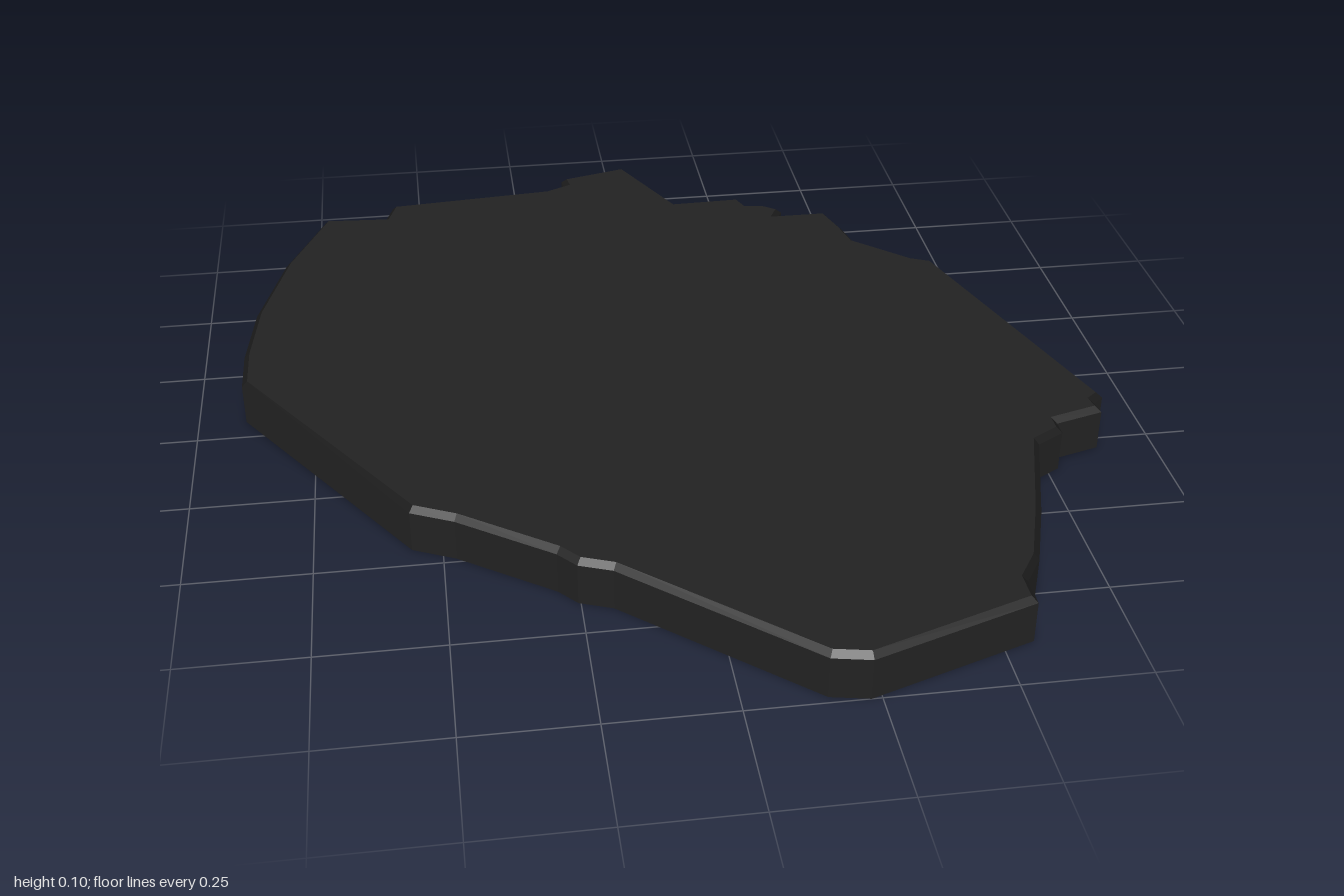
import * as THREE from 'three';

const HEIGHT = 0.1;
const BEVEL = 0.012;

// Outline corners (x, z), clockwise seen from above
const OUTLINE = [
  [0.03, -1], [0.135, -0.78], [0.295, -0.785], [0.31, -0.745], [0.35, -0.74], [0.39, -0.71],
  [0.375, -0.68], [0.495, -0.68], [0.52, -0.595], [0.535, -0.525], [0.59, -0.475], [0.65, -0.42],
  [0.695, -0.4], [0.9, 0.23], [0.875, 0.25], [0.88, 0.285], [0.775, 0.315], [0.775, 0.35],
  [0.715, 0.385], [0.65, 0.61], [0.6, 0.76], [0.56, 0.82], [0.56, 0.885], [0.23, 1],
  [0.155, 0.985], [-0.19, 0.685], [-0.255, 0.66], [-0.29, 0.62], [-0.475, 0.49], [-0.56, 0.45],
  [-0.9, -0.06], [-0.9, -0.18], [-0.88, -0.36], [-0.82, -0.59], [-0.73, -0.805], [-0.585, -0.795],
  [-0.565, -0.86], [-0.18, -0.895], [-0.13, -0.92], [-0.135, -0.955],
].map(([x, z]) => new THREE.Vector2(x, z));

// Mitred inward offset of a closed outline
function inset(points, amount) {
  const n = points.length;
  const inward = (a, b) => {
    const d = b.clone().sub(a).normalize();
    return new THREE.Vector2(-d.y, d.x);
  };
  return points.map((p, i) => {
    const n1 = inward(points[(i + n - 1) % n], p);
    const n2 = inward(p, points[(i + 1) % n]);
    const mitre = n1.clone().add(n2);
    return p.clone().addScaledVector(mitre, amount / Math.max(1 + n1.dot(n2), 0.4));
  });
}

// Flat-faced band joining a lower outline to an upper one
function band(lower, y0, upper, y1) {
  const pos = [];
  lower.forEach((a, i) => {
    const j = (i + 1) % lower.length;
    const b = lower[j], c = upper[j], d = upper[i];
    pos.push(a.x, y0, a.y, d.x, y1, d.y, c.x, y1, c.y);
    pos.push(a.x, y0, a.y, c.x, y1, c.y, b.x, y0, b.y);
  });
  const geometry = new THREE.BufferGeometry();
  geometry.setAttribute('position', new THREE.Float32BufferAttribute(pos, 3));
  geometry.computeVertexNormals();
  return geometry;
}

export function createModel() {
  const group = new THREE.Group();
  group.name = 'irregularPlate';

  const charcoal = new THREE.MeshStandardMaterial({ color: 0x222222, side: THREE.DoubleSide });
  charcoal.name = 'charcoal';
  const darkEdge = new THREE.MeshStandardMaterial({ color: 0x1a1a1a, side: THREE.DoubleSide });
  darkEdge.name = 'dark edge';

  const add = (name, geometry, material) => {
    const mesh = new THREE.Mesh(geometry, material);
    mesh.name = name;
    group.add(mesh);
    return mesh;
  };

  const inner = inset(OUTLINE, BEVEL);

  // Upright skirt, open underneath
  add('sideWall', band(OUTLINE, 0, OUTLINE, HEIGHT - BEVEL), charcoal);

  // Narrow chamfer around the top
  add('bevelledEdge', band(OUTLINE, HEIGHT - BEVEL, inner, HEIGHT), darkEdge);

  // Flat top sheet
  const shape = new THREE.Shape(inner.map((p) => new THREE.Vector2(p.x, -p.y)));
  const top = new THREE.ShapeGeometry(shape);
  top.rotateX(-Math.PI / 2);
  top.translate(0, HEIGHT, 0);
  add('topSurface', top, charcoal);

  return group;
}
